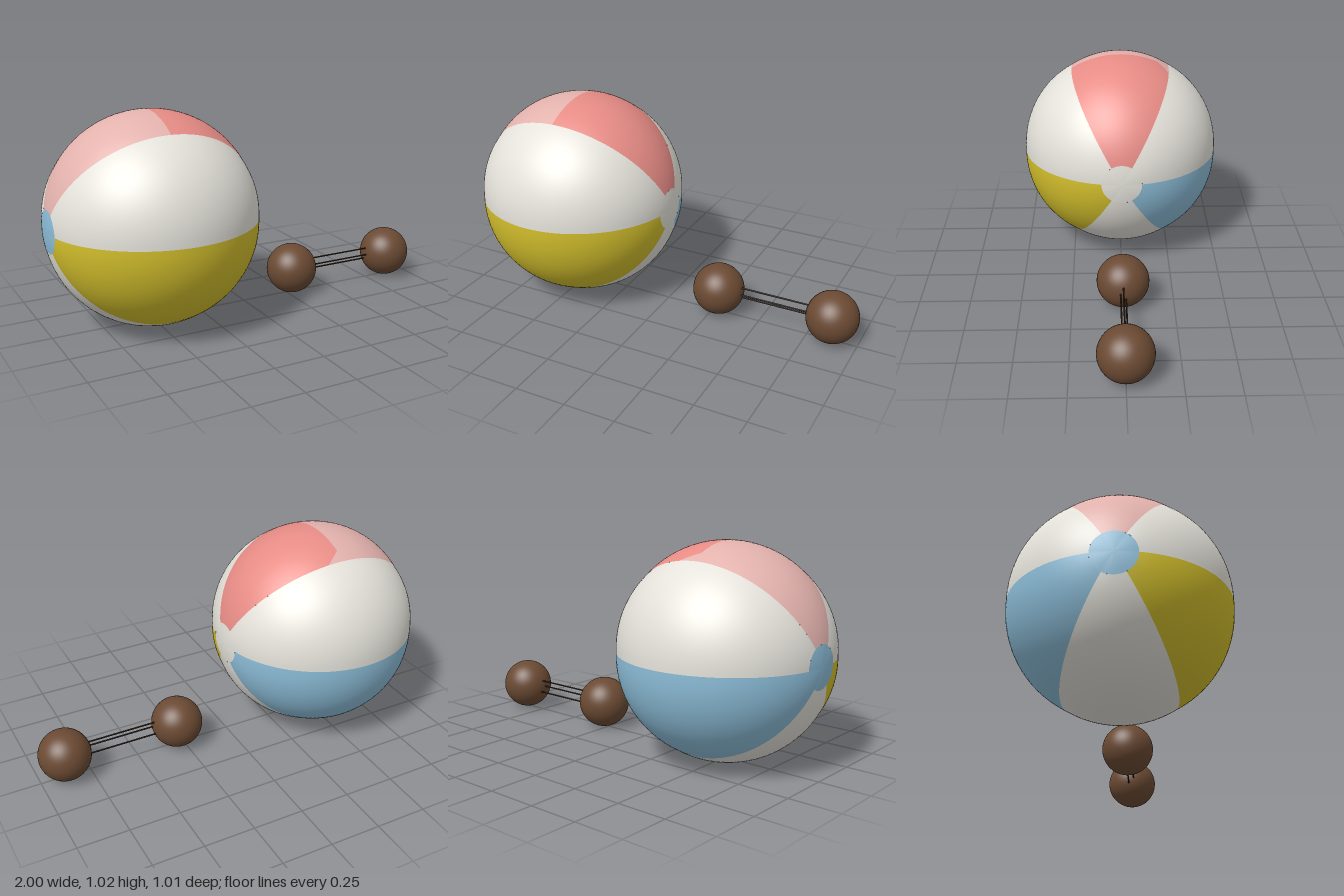
import * as THREE from 'three';

const material = (name, color) => {
  const m = new THREE.MeshStandardMaterial({ color });
  m.name = name;
  return m;
};

const RAD = Math.PI / 180;
const CAP = 11.5 * RAD; // polar angle covered by each end cap

// Ball surface point: t runs around the x axis, p runs from the +x pole.
// Each of the six panels swells slightly between its seams.
function ballPoint(t, p) {
  const r = 0.507 + 0.005 * Math.abs(Math.sin(3 * t)) * Math.sin(p);
  return [r * Math.cos(p), r * Math.sin(p) * Math.sin(t), r * Math.sin(p) * Math.cos(t)];
}

// Patch of the ball; p0 and p1 give the polar limits at each fraction u across it
function patch(t0, t1, p0, p1, nu, nv) {
  const positions = [], indices = [];
  for (let i = 0; i <= nu; i++) {
    const u = i / nu, t = (t0 + (t1 - t0) * u) * RAD;
    for (let j = 0; j <= nv; j++) {
      positions.push(...ballPoint(t, p0(u) + (p1(u) - p0(u)) * j / nv));
      if (i < nu && j < nv) {
        const a = i * (nv + 1) + j, b = a + nv + 1;
        indices.push(a, b, b + 1, a, b + 1, a + 1);
      }
    }
  }
  const g = new THREE.BufferGeometry();
  g.setAttribute('position', new THREE.Float32BufferAttribute(positions, 3));
  g.setIndex(indices);
  g.computeVertexNormals();
  return g;
}

export function createModel() {
  const white = material('white', 0xe4e2da);
  const red = material('red', 0xe88c86);
  const pink = material('pink', 0xe3b2ad);
  const yellow = material('yellow', 0xd2be2c);
  const blue = material('blue', 0x8cbdd8);
  const brown = material('brown', 0x6b4a33);
  const darkBrown = material('dark brown', 0x3a281c);

  const model = new THREE.Group();
  const add = (parent, name, geometry, mat, x = 0, y = 0, z = 0) => {
    const mesh = new THREE.Mesh(geometry, mat);
    mesh.name = name;
    mesh.position.set(x, y, z);
    parent.add(mesh);
    return mesh;
  };

  // Beach ball with its poles along x
  const ball = new THREE.Group();
  ball.name = 'beachBall';
  ball.position.set(-0.4925, 0.512, 0);
  model.add(ball);

  const start = () => CAP, end = () => Math.PI - CAP;
  const panels = [
    ['frontUpperPanel', 0, white], ['backUpperPanel', 120, white],
    ['backLowerPanel', 180, blue], ['bottomPanel', 240, white],
    ['frontLowerPanel', 300, yellow],
  ];
  for (const [name, t, mat] of panels) {
    add(ball, name, patch(t, t + 60, start, end, 20, 56), mat);
  }

  // Top panel in two shades, the join jogging sideways near the back seam
  const join = u => Math.PI / 2 - 0.16 * Math.max(0, (u - 0.88) / 0.12);
  add(ball, 'topPanelRed', patch(60, 120, start, join, 24, 28), red);
  add(ball, 'topPanelPink', patch(60, 120, join, end, 24, 28), pink);

  // End caps
  add(ball, 'leftCap', patch(0, 360, () => 0, start, 72, 6), white);
  add(ball, 'rightCap', patch(0, 360, end, () => Math.PI, 72, 6), blue);

  // Dumbbell: two round weights joined by three thin rods
  const dumbbell = new THREE.Group();
  dumbbell.name = 'dumbbell';
  dumbbell.position.set(0.575, 0.129, 0);
  model.add(dumbbell);
  for (const side of [-1, 1]) {
    add(dumbbell, 'weight', new THREE.SphereGeometry(0.128, 48, 32), brown, side * 0.295);
  }
  for (const [y, z] of [[0.032, 0], [0, 0.013], [-0.028, -0.013]]) {
    const rod = add(dumbbell, 'rod', new THREE.CylinderGeometry(0.004, 0.004, 0.4, 8), darkBrown, 0, y, z);
    rod.rotation.z = Math.PI / 2;
  }
  return model;
}
